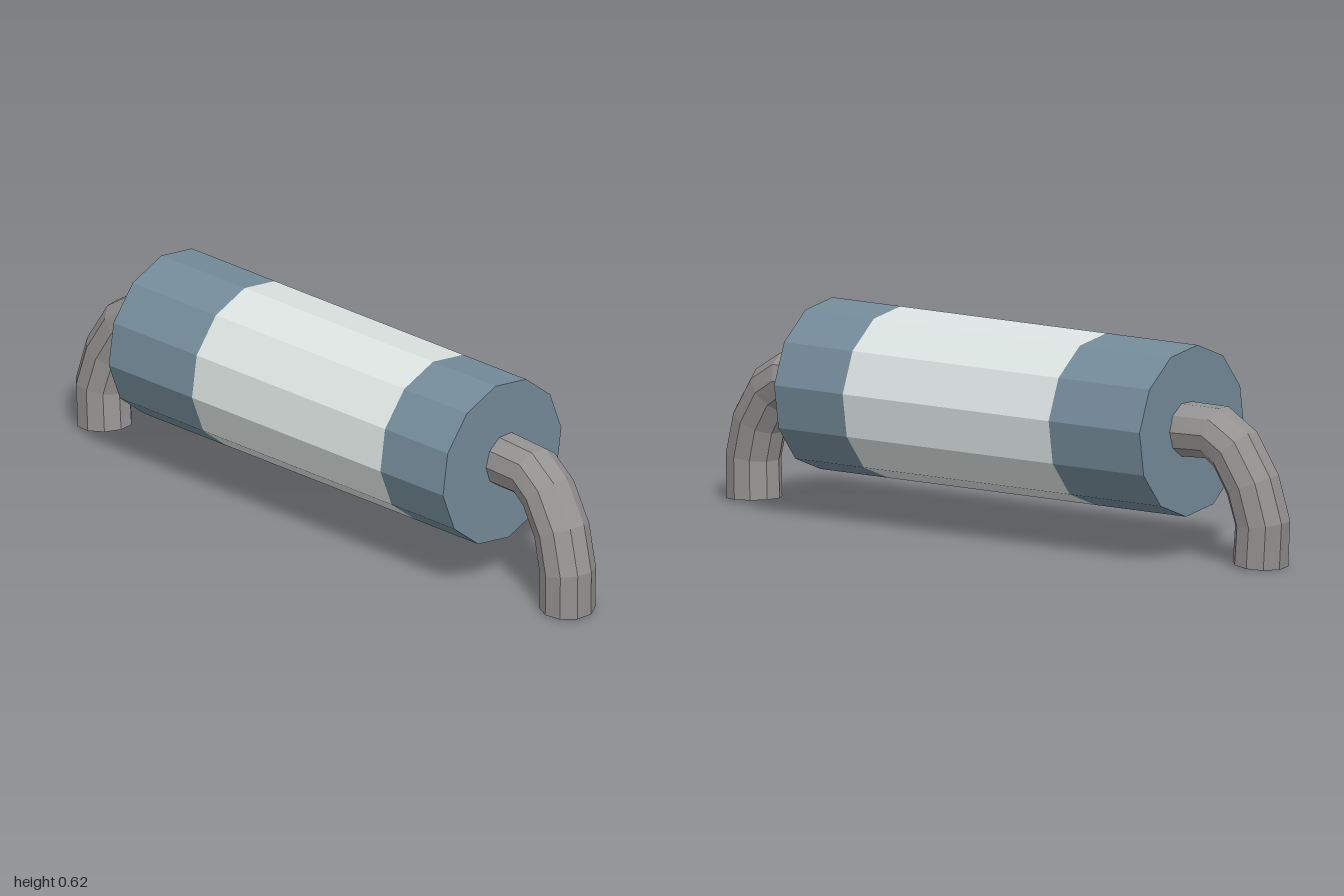
import * as THREE from 'three';

const paint = (color) => new THREE.MeshStandardMaterial({ color, flatShading: true });

// Faceted tube with a ring at every path point and flat closed ends
function pipeGeometry(path, radius, sides) {
  const pts = path.map((p) => new THREE.Vector3(...p));
  const last = pts.length - 1;
  const side = pts[last].clone().sub(pts[0]).cross(new THREE.Vector3(0, 1, 0)).normalize();
  const pos = [], index = [];
  pts.forEach((p, i) => {
    const before = p.clone().sub(pts[Math.max(i - 1, 0)]).normalize();
    const after = pts[Math.min(i + 1, last)].clone().sub(p).normalize();
    const t = before.add(after).normalize();
    const n = t.clone().cross(side).normalize();
    const b = n.clone().cross(t);
    for (let j = 0; j < sides; j++) {
      const a = (j / sides) * Math.PI * 2;
      const v = p.clone().addScaledVector(b, radius * Math.cos(a)).addScaledVector(n, radius * Math.sin(a));
      pos.push(v.x, v.y, v.z);
    }
  });
  pos.push(...pts[0].toArray(), ...pts[last].toArray());
  const startCentre = pts.length * sides, endCentre = startCentre + 1;
  for (let j = 0; j < sides; j++) {
    const k = (j + 1) % sides;
    for (let i = 0; i < last; i++) {
      const r0 = i * sides, r1 = r0 + sides;
      index.push(r0 + j, r0 + k, r1 + k, r0 + j, r1 + k, r1 + j);
    }
    index.push(startCentre, k, j, endCentre, last * sides + j, last * sides + k);
  }
  const g = new THREE.BufferGeometry();
  g.setAttribute('position', new THREE.Float32BufferAttribute(pos, 3));
  g.setIndex(index);
  g.computeVertexNormals();
  return g;
}

export function createModel() {
  const group = new THREE.Group();
  const blue = paint(0x748b99), pale = paint(0xdbe3e1), grey = paint(0x959392);

  // Twelve-sided drum in three bands, lying along x and turned a little
  const drum = new THREE.Group();
  drum.name = 'drum';
  drum.position.set(-0.014, 0.373, -0.003);
  drum.rotation.y = -0.205;
  const R = 0.25, end = 0.667, seamRight = -0.335, seamLeft = 0.417;
  const bands = [
    ['rightEndBand', [[0, -end], [R, -end], [R, seamRight]], blue],
    ['middleBand', [[R, seamRight], [R, seamLeft]], pale],
    ['leftEndBand', [[R, seamLeft], [R, end], [0, end]], blue],
  ];
  for (const [name, profile, material] of bands) {
    const g = new THREE.LatheGeometry(profile.map((p) => new THREE.Vector2(...p)), 12, 0.11);
    g.rotateZ(-Math.PI / 2);
    const mesh = new THREE.Mesh(g, material);
    mesh.name = name;
    drum.add(mesh);
  }
  group.add(drum);

  // Bent pipes leaving each end and turning down to the ground
  const pipes = {
    leftPipe: [[0.61, 0.376, 0.11], [0.76, 0.376, 0.152], [0.825, 0.335, 0.178],
      [0.885, 0.24, 0.202], [0.914, 0.13, 0.217], [0.91, 0.006, 0.213]],
    rightPipe: [[-0.63, 0.382, -0.158], [-0.765, 0.382, -0.175], [-0.83, 0.338, -0.185],
      [-0.888, 0.24, -0.19], [-0.918, 0.13, -0.187], [-0.908, 0.008, -0.18]],
  };
  for (const [name, path] of Object.entries(pipes)) {
    const mesh = new THREE.Mesh(pipeGeometry(path, 0.082, 10), grey);
    mesh.name = name;
    group.add(mesh);
  }
  return group;
}
